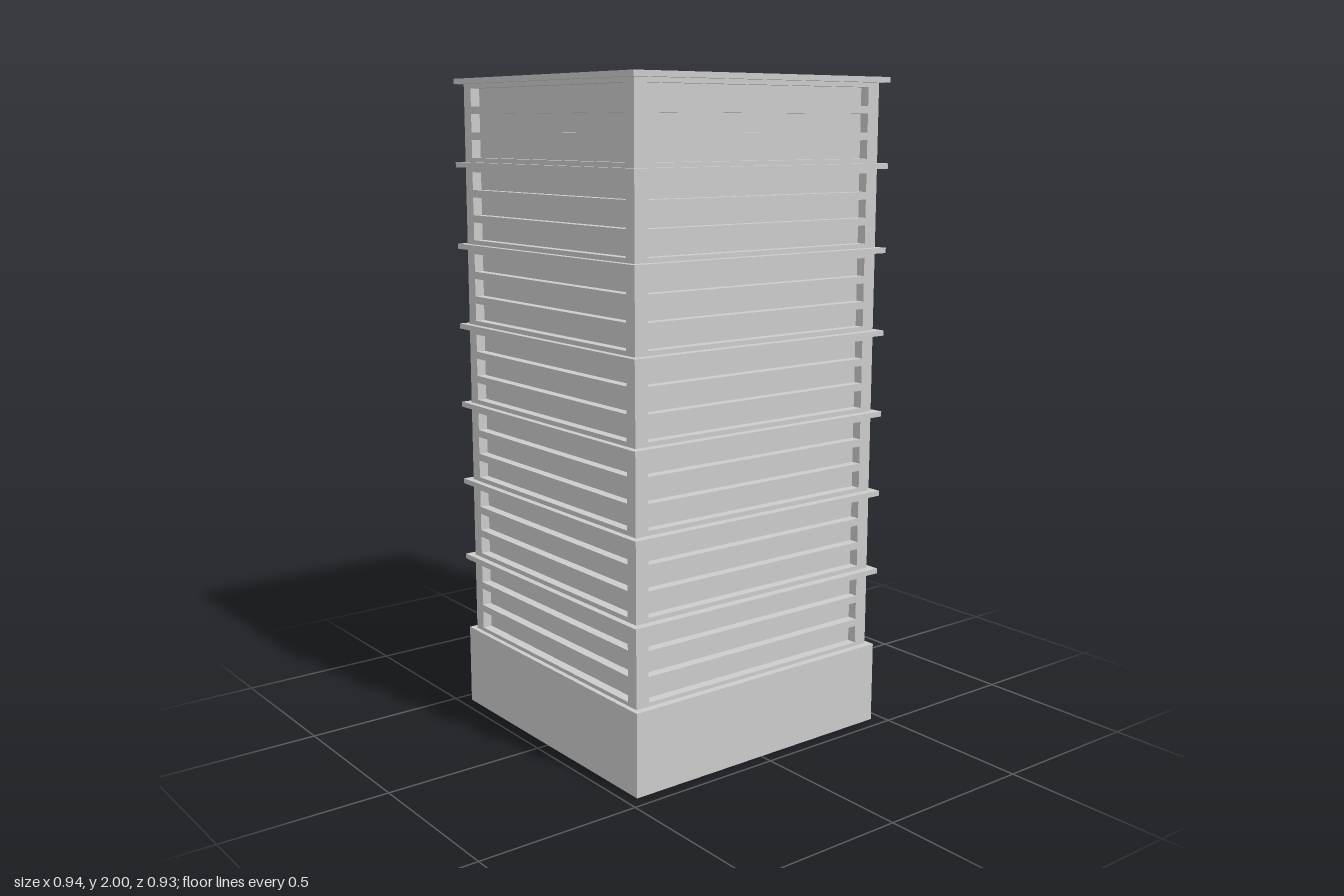
import * as THREE from 'three';

const material = new THREE.MeshStandardMaterial({ color: 0xcccccc, flatShading: true });

// Half sizes of each layer, and the vertical rhythm
const BASE = { x: 0.463, z: 0.459, top: 0.252 };
const WALL = { x: 0.448, z: 0.437 };
const SLAB = { x: 0.468, z: 0.463, h: 0.016 };
const ROOF = { x: 0.42, z: 0.413 };
const DEPTH = 0.03; // window recess
const FLOOR = 0.25;
const FLOORS = 7;
const TOP = 2 - SLAB.h;

function addMesh(parent, name, geometry) {
  const mesh = new THREE.Mesh(geometry, material);
  mesh.name = name;
  parent.add(mesh);
  return mesh;
}

function addBox(parent, name, hx, hz, y0, y1) {
  const mesh = addMesh(parent, name, new THREE.BoxGeometry(hx * 2, y1 - y0, hz * 2));
  mesh.position.y = (y0 + y1) / 2;
  return mesh;
}

// Traces a rectangle on a Shape or Path
function rect(path, hx, y0, y1) {
  path.moveTo(-hx, y0).lineTo(hx, y0).lineTo(hx, y1).lineTo(-hx, y1).closePath();
  return path;
}

// Wall panel pierced by three strip windows per floor, outer face at z = DEPTH
function facadeGeometry(halfWidth, halfWindow) {
  const shape = rect(new THREE.Shape(), halfWidth, BASE.top, TOP);
  for (let f = 1; f <= FLOORS; f++) {
    for (let i = 0; i < 3; i++) {
      const y = f * FLOOR + 0.0135 + i * 0.0765;
      shape.holes.push(rect(new THREE.Path(), halfWindow, y, y + 0.054));
    }
  }
  return new THREE.ExtrudeGeometry(shape, { depth: DEPTH, bevelEnabled: false });
}

export function createModel() {
  const group = new THREE.Group();
  group.name = 'officeTower';

  // Solid ground floor and the inner core seen behind the windows
  addBox(group, 'base', BASE.x, BASE.z, 0, BASE.top);
  addBox(group, 'core', WALL.x - DEPTH, WALL.z - DEPTH, BASE.top, TOP);

  // Four facades; the side pair fits between the front and back pair
  const wide = facadeGeometry(WALL.x, 0.405);
  const narrow = facadeGeometry(WALL.z - DEPTH, 0.397);
  ['frontFacade', 'leftFacade', 'backFacade', 'rightFacade'].forEach((name, i) => {
    const side = i % 2 === 1;
    const facade = addMesh(group, name, side ? narrow : wide);
    const angle = (i * Math.PI) / 2;
    const dist = (side ? WALL.x : WALL.z) - DEPTH;
    facade.rotation.y = angle;
    facade.position.set(Math.sin(angle) * dist, 0, Math.cos(angle) * dist);
  });

  // Projecting floor slabs
  for (let f = 2; f <= FLOORS; f++) {
    addBox(group, 'floorSlab', SLAB.x, SLAB.z, f * FLOOR - SLAB.h, f * FLOOR);
  }

  // Roof rim around the sunken roof
  const rim = rect(new THREE.Shape(), SLAB.x, -SLAB.z, SLAB.z);
  rim.holes.push(rect(new THREE.Path(), ROOF.x, -ROOF.z, ROOF.z));
  const roofRim = addMesh(group, 'roofRim',
    new THREE.ExtrudeGeometry(rim, { depth: SLAB.h, bevelEnabled: false }));
  roofRim.rotation.x = -Math.PI / 2;
  roofRim.position.y = TOP;

  return group;
}
